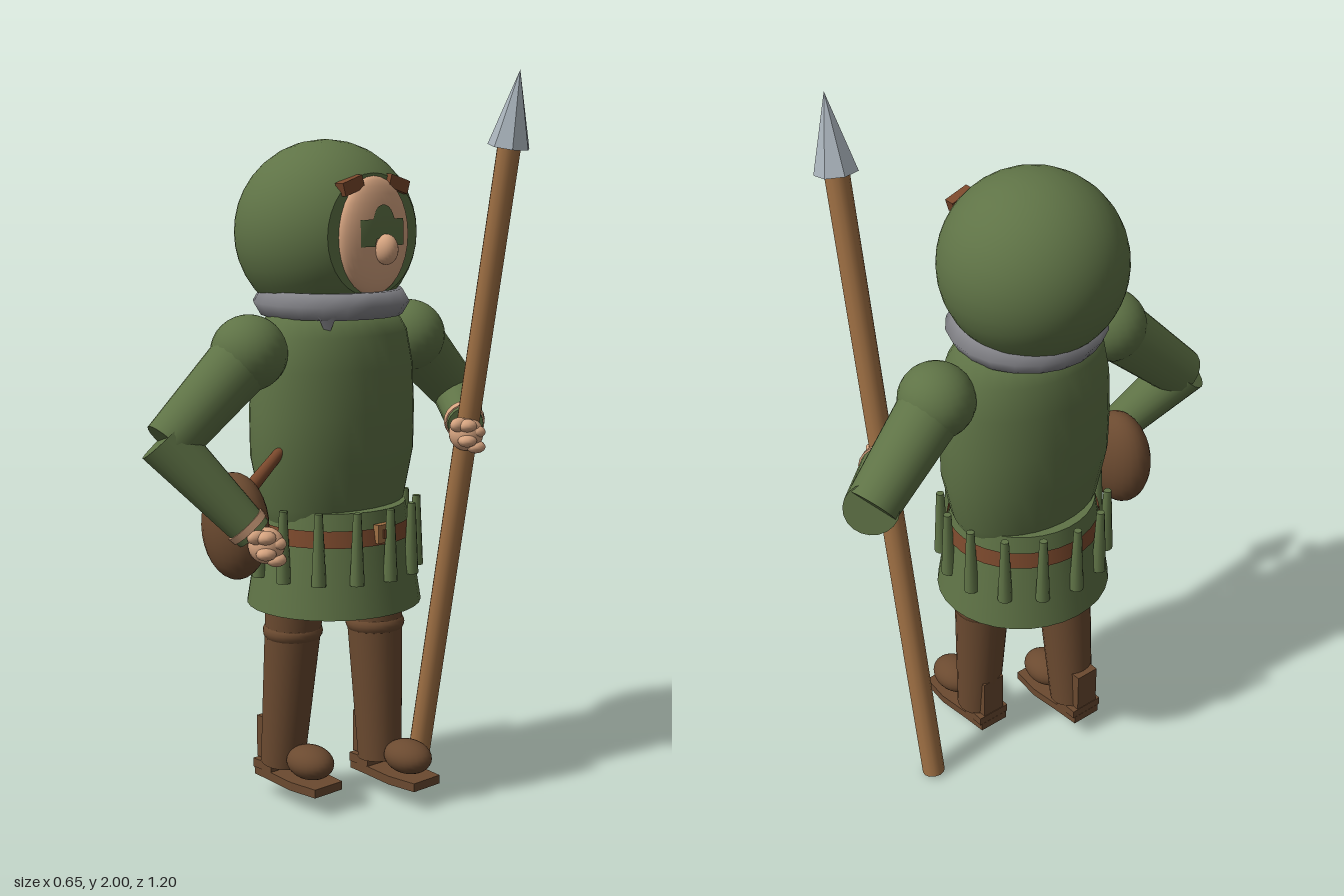
import * as THREE from 'three';

const V = (x, y, z) => new THREE.Vector3(x, y, z);
const mat = (name, color, side = THREE.FrontSide) => {
  const m = new THREE.MeshStandardMaterial({ color, side });
  m.name = name;
  return m;
};

export function createModel() {
  const root = new THREE.Group();
  root.name = 'spearman';
  const green = mat('green cloth', 0x5f7346, THREE.DoubleSide);
  const brown = mat('brown leather', 0x6b4a30);
  const belt = mat('belt brown', 0x7a482c, THREE.DoubleSide);
  const wood = mat('spear wood', 0x9f7044);
  const skin = mat('skin', 0xd6a480);
  const grey = mat('collar grey', 0x85858a);
  const steel = mat('steel', 0xa9b3bb);
  steel.flatShading = true;

  const add = (name, geo, m, x = 0, y = 0, z = 0, parent = root) => {
    const mesh = new THREE.Mesh(geo, m);
    mesh.name = name;
    mesh.position.set(x, y, z);
    parent.add(mesh);
    return mesh;
  };
  const ball = (name, m, c, r, parent = root, seg = 24) => {
    const s = add(name, new THREE.SphereGeometry(1, seg, 16), m, c.x, c.y, c.z, parent);
    s.scale.set(...(Array.isArray(r) ? r : [r, r, r]));
    return s;
  };
  // tapered round bar from a to b
  const rod = (name, m, a, b, ra, rb, parent = root, seg = 20) => {
    const d = b.clone().sub(a);
    const mid = a.clone().add(b).multiplyScalar(0.5);
    const c = add(name, new THREE.CylinderGeometry(rb, ra, d.length(), seg), m, mid.x, mid.y, mid.z, parent);
    c.quaternion.setFromUnitVectors(V(0, 1, 0), d.normalize());
    return c;
  };

  // hooded head, cut flat where the face sits (the model looks along +x)
  const R = 0.245, cut = 0.185, hc = V(-0.08, 1.575, 0.01);
  const a0 = Math.acos(cut / R);
  add('hood', new THREE.SphereGeometry(R, 32, 24, 0, Math.PI * 2, a0, Math.PI - a0)
    .rotateZ(-Math.PI / 2), green, hc.x, hc.y, hc.z);
  add('hoodFront', new THREE.CircleGeometry(R * Math.sin(a0), 32).rotateY(Math.PI / 2),
    green, hc.x + cut, hc.y, hc.z);
  const fc = V(hc.x + cut, 1.573, 0.01), fr = [0.042, 0.155, 0.122];
  ball('face', skin, fc, fr, root, 32);
  ball('nose', skin, V(0.155, 1.54, 0.01), [0.033, 0.04, 0.03]);

  // thin painted patches that follow the curve of the face
  const patch = (name, m, z0, z1, low, high) => {
    const g = new THREE.PlaneGeometry(1, 1, 28, 10);
    const p = g.attributes.position;
    for (let i = 0; i < p.count; i++) {
      const z = z1 + (z0 - z1) * (p.getX(i) + 0.5);
      const y = low(z) + (high(z) - low(z)) * (p.getY(i) + 0.5);
      const k = 1 - (z / fr[2]) ** 2 - (y / fr[1]) ** 2;
      p.setXYZ(i, fr[0] * Math.sqrt(Math.max(k, 0)) + 0.003, y, z);
    }
    g.computeVertexNormals();
    add(name, g, m, fc.x, fc.y, fc.z);
  };
  patch('eyePaint', green, -0.077, 0.077,
    z => (Math.abs(z) < 0.03 ? -0.005 : -0.025),
    z => 0.045 + (Math.abs(z) < 0.035 ? 0.037 * Math.sqrt(1 - (z / 0.035) ** 2) : 0));
  for (const s of [1, -1]) {
    const brow = add('brow', new THREE.BoxGeometry(0.03, 0.035, 0.07), belt, 0.105, 1.705, 0.01 + s * 0.082);
    brow.rotation.x = s * 0.3;
  }

  // collar
  const collar = add('collar', new THREE.TorusGeometry(0.172, 0.04, 6, 20).rotateX(Math.PI / 2), grey, -0.06, 1.392, 0.008);
  collar.rotation.y = 0.1;
  add('collarTip', new THREE.ConeGeometry(0.035, 0.06, 4).rotateX(Math.PI), grey, 0.06, 1.34, 0.13);

  // torso: round profile narrowed front to back
  const prof = [[0.2, 0.8], [0.222, 0.85], [0.25, 0.98], [0.252, 1.1], [0.246, 1.22], [0.228, 1.31], [0.19, 1.37], [0.001, 1.39]];
  add('torso', new THREE.LatheGeometry(prof.map(p => new THREE.Vector2(...p)), 32).scale(0.74, 1, 1), green, -0.058, 0, 0.005);
  const skirt = add('skirt', new THREE.CylinderGeometry(0.2, 0.245, 0.28, 32), green, -0.055, 0.705, 0.003);
  skirt.scale.x = 0.96;
  const band = add('belt', new THREE.CylinderGeometry(0.212, 0.22, 0.045, 32, 1, true), belt, -0.055, 0.778, 0.003);
  band.scale.x = 0.96;
  add('buckle', new THREE.BoxGeometry(0.02, 0.05, 0.06), wood, 0.153, 0.787, 0.012);
  add('bucklePlate', new THREE.BoxGeometry(0.008, 0.024, 0.03), belt, 0.164, 0.787, 0.012);

  // ring of hanging cartridges
  for (let i = 0; i < 14; i++) {
    const a = i * Math.PI / 7;
    add('cartridge', new THREE.CylinderGeometry(0.011, 0.02, 0.195, 10), green,
      -0.055 + 0.225 * Math.cos(a), 0.755, 0.005 + 0.232 * Math.sin(a));
  }

  // legs and shoes, one foot forward
  for (const [name, z, hip, ankle, back] of [
    ['leftLeg', 0.125, -0.075, -0.135, -0.205], ['rightLeg', -0.105, -0.012, 0.018, -0.055]]) {
    const leg = new THREE.Group();
    leg.name = name;
    root.add(leg);
    const h = V(hip, 0.62, z), k = V(ankle, 0.1, z);
    rod('trouser', brown, k, h, 0.062, 0.083, leg);
    const knee = h.clone().lerp(k, 0.25);
    ball('kneeCuff', brown, knee, [0.083, 0.045, 0.083], leg);
    ball('toe', brown, V(back + 0.185, 0.127, z), [0.075, 0.047, 0.058], leg);
    add('heelGuard', new THREE.BoxGeometry(0.07, 0.12, 0.07), brown, back + 0.035, 0.165, z, leg);
    add('heel', new THREE.BoxGeometry(0.075, 0.025, 0.1), brown, back + 0.038, 0.09, z, leg);
    // sole outline, narrowed at the toe
    const s = new THREE.Shape([[0, -0.045], [0.07, -0.05], [0.17, -0.06], [0.26, -0.05],
      [0.26, 0.05], [0.17, 0.06], [0.07, 0.05], [0, 0.045]].map(p => new THREE.Vector2(...p)));
    add('sole', new THREE.ExtrudeGeometry(s, { depth: 0.024, bevelEnabled: false })
      .rotateX(-Math.PI / 2), brown, back, 0.055, z, leg);
  }

  // arms: shoulder, elbow, wrist, hand
  for (const [name, sh, el, wr, hand] of [
    ['leftArm', V(-0.057, 1.275, 0.3), V(-0.105, 1.055, 0.53), V(0.035, 0.82, 0.365), V(0.06, 0.79, 0.345)],
    ['rightArm', V(-0.057, 1.275, -0.285), V(-0.105, 1.085, -0.53), V(0.1, 1.03, -0.355), V(0.14, 1.015, -0.315)]]) {
    const arm = new THREE.Group();
    arm.name = name;
    root.add(arm);
    ball('shoulder', green, sh, [0.104, 0.1, 0.1], arm);
    rod('upperArm', green, sh, el, 0.088, 0.07, arm);
    const dir = wr.clone().sub(el).normalize();
    rod('forearm', green, el.clone().addScaledVector(dir, -0.02), wr, 0.072, 0.05, arm);
    rod('cuff', skin, wr.clone().addScaledVector(dir, -0.035), wr.clone().addScaledVector(dir, -0.015), 0.058, 0.055, arm);
    ball('palm', skin, hand, 0.048, arm);
    for (let i = 0; i < 4; i++) {
      ball('finger', skin, V(hand.x + 0.028, hand.y - 0.035 + i * 0.021, hand.z + (i % 2 ? 0.025 : -0.01)), [0.026, 0.018, 0.028], arm, 10);
    }
    ball('thumb', skin, V(hand.x + 0.01, hand.y + 0.03, hand.z + 0.04), [0.02, 0.02, 0.03], arm, 10);
  }

  // flask at the hip
  ball('flask', brown, V(-0.06, 0.822, 0.35), [0.108, 0.143, 0.075]);
  rod('flaskNeck', belt, V(-0.04, 0.9, 0.34), V(-0.005, 1.03, 0.22), 0.02, 0.014);

  // spear
  const foot = V(-0.055, 0.006, -0.33), neck = V(0.27, 1.8, -0.33), tip = V(0.305, 2, -0.33);
  rod('spearShaft', wood, foot, neck, 0.032, 0.032, root, 12);
  rod('spearHead', steel, neck, tip, 0.058, 0, root, 7);
  return root;
}
